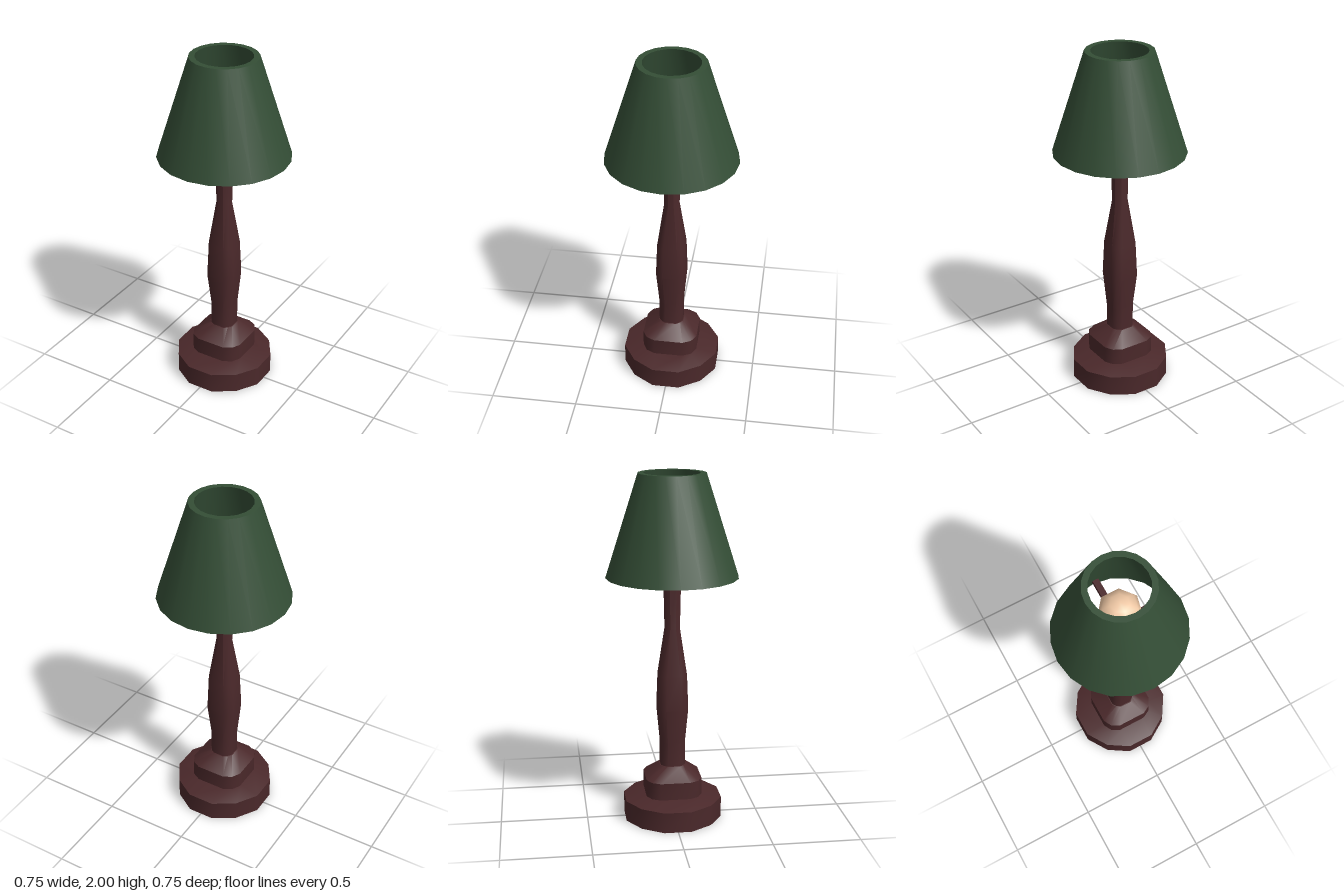
import * as THREE from 'three';
import { toCreasedNormals } from 'three/addons/utils/BufferGeometryUtils.js';

const wood = new THREE.MeshStandardMaterial({ color: 0x4a282a });
const fabric = new THREE.MeshStandardMaterial({ color: 0x344e36 });
const glass = new THREE.MeshStandardMaterial({ color: 0xf2caa6 });

function part(name, geometry, material, crease) {
  const mesh = new THREE.Mesh(crease ? toCreasedNormals(geometry, crease) : geometry, material);
  mesh.name = name;
  return mesh;
}

// Twelve-sided rounded square: half width h, flat half length a, corner at (d, d)
function ring([y, h, a, d]) {
  const quarter = [[h, -a], [h, a], [d, d]];
  const points = [];
  for (let q = 0; q < 4; q++) {
    for (const [x, z] of quarter) {
      const p = [[x, z], [-z, x], [-x, -z], [z, -x]][q];
      points.push(new THREE.Vector3(p[0], y, p[1]));
    }
  }
  return points;
}

// Skin a stack of rings from bottom to top, with flat caps
function loft(sections) {
  const rings = sections.map(ring);
  const n = rings[0].length;
  const positions = rings.flat().flatMap((p) => [p.x, p.y, p.z]);
  const index = [];
  for (let r = 0; r < rings.length - 1; r++) {
    for (let i = 0; i < n; i++) {
      const a = r * n + i, b = r * n + (i + 1) % n;
      index.push(a, a + n, b, b, a + n, b + n);
    }
  }
  const last = (rings.length - 1) * n;
  for (let i = 1; i < n - 1; i++) {
    index.push(0, i, i + 1, last, last + i + 1, last + i);
  }
  const geometry = new THREE.BufferGeometry();
  geometry.setAttribute('position', new THREE.Float32BufferAttribute(positions, 3));
  geometry.setIndex(index);
  return geometry;
}

export function createModel() {
  const lamp = new THREE.Group();
  lamp.name = 'tableLamp';

  // Round foot with a gently sloping top
  lamp.add(part('foot', loft([
    [0, 0.277, 0.078, 0.2],
    [0.12, 0.277, 0.078, 0.2],
    [0.15, 0.165, 0.08, 0.138],
  ]), wood, 0.6));

  // Squarish block with a tapered shoulder
  lamp.add(part('plinth', loft([
    [0.14, 0.16, 0.085, 0.134],
    [0.25, 0.16, 0.085, 0.134],
    [0.32, 0.075, 0.035, 0.058],
  ]), wood, 0.6));

  // Turned column, swelling in the middle and narrowing to the neck
  lamp.add(part('column', loft([
    [0.31, 0.07, 0.033, 0.055],
    [0.46, 0.07, 0.033, 0.055],
    [0.66, 0.087, 0.045, 0.072],
    [0.86, 0.08, 0.04, 0.065],
    [1.13, 0.042, 0.016, 0.031],
    [1.42, 0.048, 0.018, 0.035],
    [1.58, 0.05, 0.019, 0.037],
  ]), wood, 0.6));

  // Four arms carrying the shade
  for (let i = 0; i < 4; i++) {
    const arm = part('shadeArm', new THREE.BoxGeometry(0.29, 0.034, 0.034), wood);
    const angle = i * Math.PI / 2;
    arm.position.set(Math.cos(angle) * 0.145, 1.53, -Math.sin(angle) * 0.145);
    arm.rotation.y = angle;
    lamp.add(arm);
  }

  // Seven-sided bulb
  const bulb = part('bulb', new THREE.SphereGeometry(0.12, 7, 7, Math.PI / 2), glass);
  bulb.position.y = 1.68;
  lamp.add(bulb);

  // Thick tapered shade, open at both ends
  const profile = [[0.374, 1.425], [0.19, 2], [0.157, 2], [0.302, 1.425], [0.374, 1.425]];
  const shade = new THREE.LatheGeometry(profile.map(([x, y]) => new THREE.Vector2(x, y)), 20);
  lamp.add(part('shade', shade, fabric, 0.6));

  return lamp;
}
